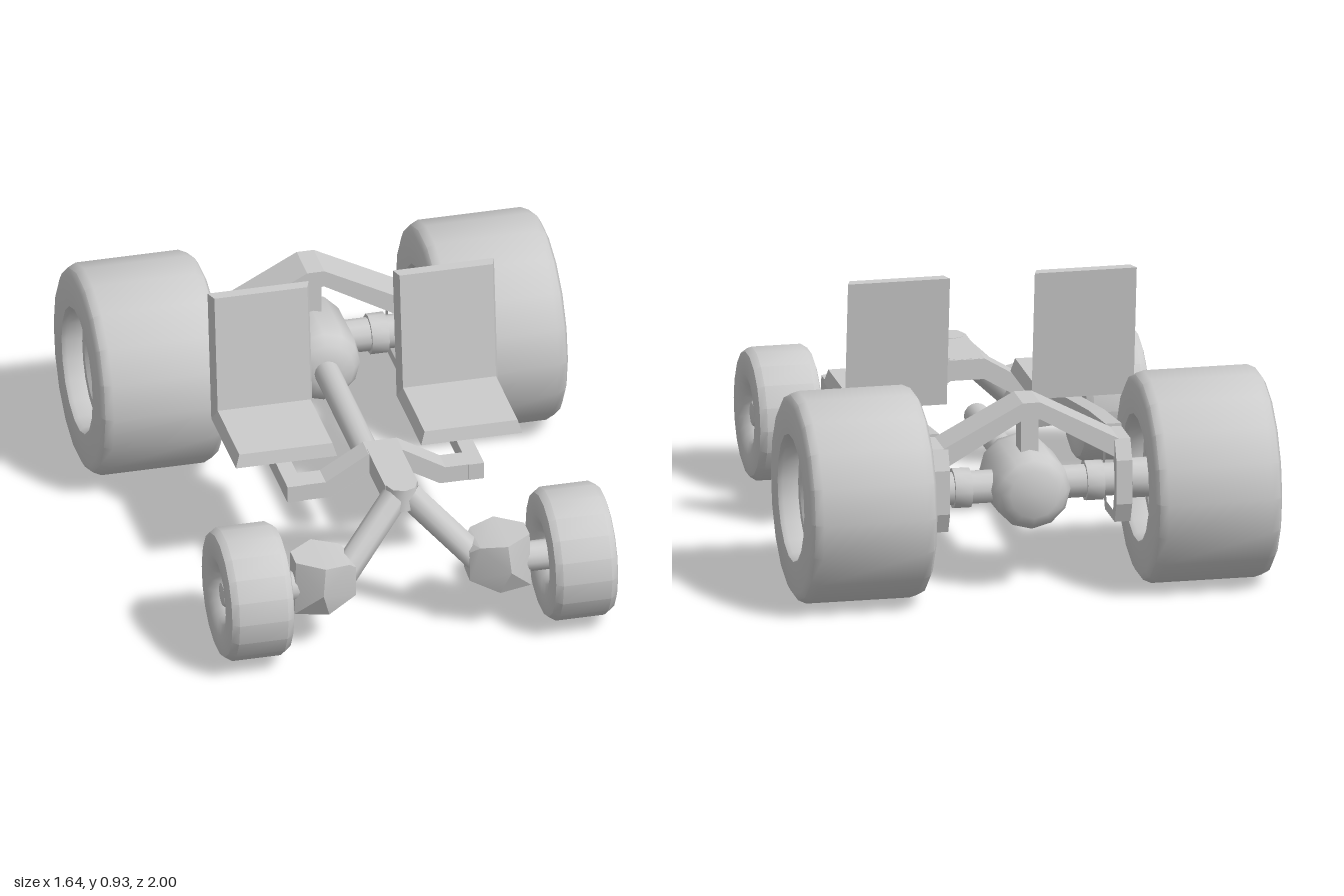
import * as THREE from 'three';
import { toCreasedNormals } from 'three/addons/utils/BufferGeometryUtils.js';
import { ConvexGeometry } from 'three/addons/geometries/ConvexGeometry.js';

const mat = new THREE.MeshStandardMaterial({ color: 0xcccccc });
const V = (x, y, z) => new THREE.Vector3(x, y, z);

function add(parent, name, geometry, x = 0, y = 0, z = 0) {
  const mesh = new THREE.Mesh(geometry, mat);
  mesh.name = name;
  mesh.position.set(x, y, z);
  parent.add(mesh);
  return mesh;
}

const shapeOf = pts => new THREE.Shape(pts.map(p => new THREE.Vector2(p[0], p[1])));

// Outline in x,y given depth along z, centred on z = 0
function slab(shape, depth) {
  return new THREE.ExtrudeGeometry(shape, { depth, bevelEnabled: false }).translate(0, 0, -depth / 2);
}
// Outline in z,y given width along x, centred on x = 0
const sideSlab = (shape, width) => slab(shape, width).rotateY(-Math.PI / 2);

// Right half of an outline completed by mirroring
const mirrored = half => shapeOf([...half, ...half.map(([x, y]) => [-x, y]).reverse()]);

// Round bar between two points
function rod(parent, name, a, b, r, sides = 12) {
  const geo = toCreasedNormals(new THREE.CylinderGeometry(r, r, a.distanceTo(b), sides), 0.8);
  const mid = a.clone().add(b).multiplyScalar(0.5);
  const mesh = add(parent, name, geo, mid.x, mid.y, mid.z);
  mesh.quaternion.setFromUnitVectors(V(0, 1, 0), b.clone().sub(a).normalize());
  return mesh;
}

// Revolved wheel around x; half profile runs from tread to centre as [radius, offset]
function wheelGeometry(half, sides) {
  const inner = half.map(([r, o]) => new THREE.Vector2(r, -o)).reverse();
  const outer = half.map(([r, o]) => new THREE.Vector2(r, o));
  return toCreasedNormals(new THREE.LatheGeometry([...inner, ...outer], sides).rotateZ(-Math.PI / 2), 0.65);
}

function rearWheel() {
  const g = new THREE.Group();
  g.name = 'rearWheel';
  add(g, 'rearTyreAndRim', wheelGeometry([
    [0.365, 0.18], [0.352, 0.208], [0.33, 0.22], [0.22, 0.22], [0.21, 0.205], [0.207, 0.14],
    [0.19, 0.155], [0.16, 0.155], [0.135, 0.135], [0.12, 0.06], [0, 0.05]], 18));
  // Radial fins in the hub
  for (let i = 0; i < 12; i++) {
    const fin = new THREE.BoxGeometry(0.05, 0.085, 0.012).translate(0.085, 0.055, 0);
    add(g, 'hubFin', fin).rotation.x = i * Math.PI / 6;
  }
  return g;
}

function frontWheel() {
  const g = new THREE.Group();
  g.name = 'frontWheel';
  add(g, 'frontTyre', wheelGeometry([
    [0.23, 0.085], [0.215, 0.108], [0.2, 0.113], [0.14, 0.113], [0.105, 0.1],
    [0.082, 0.07], [0.075, 0.03], [0, 0.025]], 18));
  const cap = [[0.052, 0], [0.052, 0.075], [0.04, 0.092], [0, 0.097]].map(p => new THREE.Vector2(...p));
  add(g, 'hubCap', toCreasedNormals(new THREE.LatheGeometry(cap, 12).rotateZ(-Math.PI / 2), 0.8));
  return g;
}

// L-shaped seat whose inner faces are narrower than its outer faces
function seatGeometry() {
  const inner = [[0.325, 0.53], [0.02, 0.53], [-0.027, 0.945]];
  const outer = [[-0.067, 0.945], [-0.013, 0.483], [0.335, 0.483]];
  const geo = sideSlab(shapeOf([...inner, ...outer]), 0.355);
  const pos = geo.attributes.position;
  for (let i = 0; i < pos.count; i++) {
    const isInner = inner.some(([z, y]) => Math.abs(pos.getZ(i) - z) + Math.abs(pos.getY(i) - y) < 1e-4);
    if (isInner) pos.setX(i, pos.getX(i) * 0.92);
  }
  geo.computeVertexNormals();
  return geo;
}

export function createModel() {
  const model = new THREE.Group();
  model.name = 'buggyChassis';

  // Elongated ring that holds the axle at the rear end of each rail
  const ringPoints = (w, top, bottom) => [
    [w * 0.72, top], [w, top - 0.07], [w, bottom + 0.07], [w * 0.72, bottom],
    [-w * 0.72, bottom], [-w, bottom + 0.07], [-w, top - 0.07], [-w * 0.72, top]];
  const ring = shapeOf(ringPoints(0.11, 0.165, -0.13));
  ring.holes.push(new THREE.Path(ringPoints(0.075, 0.115, -0.095).map(p => new THREE.Vector2(...p))));

  const rail = shapeOf([[0.43, 0.38], [0.43, 0.44], [0.15, 0.44], [-0.28, 0.512], [-0.56, 0.545],
    [-0.56, 0.485], [-0.28, 0.455], [0.14, 0.38]]);

  for (const s of [-1, 1]) {
    const rear = rearWheel();
    rear.position.set(s * 0.6, 0.37, -0.63);
    const front = frontWheel();
    front.position.set(s * 0.568, 0.255, 0.77);
    rear.rotation.y = front.rotation.y = s > 0 ? 0 : Math.PI;
    model.add(rear, front);

    add(model, 'seat', seatGeometry(), s * 0.325);
    add(model, 'seatPost', new THREE.BoxGeometry(0.055, 0.06, 0.05), s * 0.317, 0.46, 0.175);
    add(model, 'sideRail', sideSlab(rail, 0.055), s * 0.317);
    add(model, 'axleBracket', sideSlab(ring, 0.055), s * 0.317, 0.37, -0.63);

    // Front arm, steering knuckle and stub axle
    rod(model, 'frontArm', V(s * 0.025, 0.485, 0.655), V(s * 0.25, 0.26, 0.785), 0.048, 8);
    const knuckle = [
      [0.2, 0.33, 0.73], [0.2, 0.32, 0.81], [0.2, 0.22, 0.73], [0.2, 0.21, 0.81],
      [0.23, 0.35, 0.69], [0.23, 0.35, 0.84], [0.32, 0.36, 0.655], [0.32, 0.36, 0.87],
      [0.41, 0.365, 0.73], [0.41, 0.365, 0.81], [0.37, 0.27, 0.665], [0.33, 0.26, 0.88],
      [0.415, 0.165, 0.73], [0.415, 0.165, 0.81], [0.3, 0.165, 0.7], [0.3, 0.165, 0.84]];
    add(model, 'steeringKnuckle',
      toCreasedNormals(new ConvexGeometry(knuckle.map(([x, y, z]) => V(s * x, y, z))), 0.6));
    rod(model, 'stubAxle', V(s * 0.38, 0.255, 0.77), V(s * 0.56, 0.255, 0.77), 0.052);

    // Rear half axle with a collar next to the wheel
    rod(model, 'rearAxle', V(s * 0.08, 0.37, -0.63), V(s * 0.58, 0.37, -0.63), 0.058);
    rod(model, 'axleCollar', V(s * 0.355, 0.37, -0.63), V(s * 0.5, 0.37, -0.63), 0.07);
    rod(model, 'axleCollar', V(s * 0.2, 0.37, -0.63), V(s * 0.26, 0.37, -0.63), 0.07);
  }

  // Centre beam with the joint of the two front arms
  add(model, 'centreBeam', new THREE.BoxGeometry(0.115, 0.075, 0.3), 0, 0.493, 0.5);
  add(model, 'armJoint', toCreasedNormals(
    new THREE.CylinderGeometry(0.055, 0.06, 0.08, 8), 0.8), 0, 0.492, 0.65);

  // Raised cross members joining the rails
  add(model, 'frontCrossMember', slab(mirrored([
    [0.06, 0.53], [0.21, 0.44], [0.345, 0.44], [0.345, 0.38], [0.19, 0.38], [0.045, 0.465]]), 0.085),
    0, 0, 0.385);
  add(model, 'rearCrossMember', slab(mirrored([
    [0.03, 0.68], [0.342, 0.515], [0.342, 0.455], [0.3, 0.465], [0.03, 0.62]]), 0.15), 0, 0, -0.635);
  add(model, 'rearStrut', new THREE.BoxGeometry(0.06, 0.16, 0.08), 0, 0.56, -0.64);

  // Differential housing and drive shaft
  const housing = [[0, -0.765], [0.085, -0.765], [0.115, -0.745], [0.135, -0.715], [0.138, -0.5],
    [0.128, -0.45], [0.1, -0.415], [0.05, -0.4], [0, -0.4]].map(p => new THREE.Vector2(...p));
  add(model, 'differential', toCreasedNormals(
    new THREE.LatheGeometry(housing, 12).rotateX(Math.PI / 2), 0.8), 0, 0.37, 0);
  rod(model, 'driveShaft', V(0, 0.375, -0.45), V(0, 0.375, 0.195), 0.044, 16);

  return model;
}
